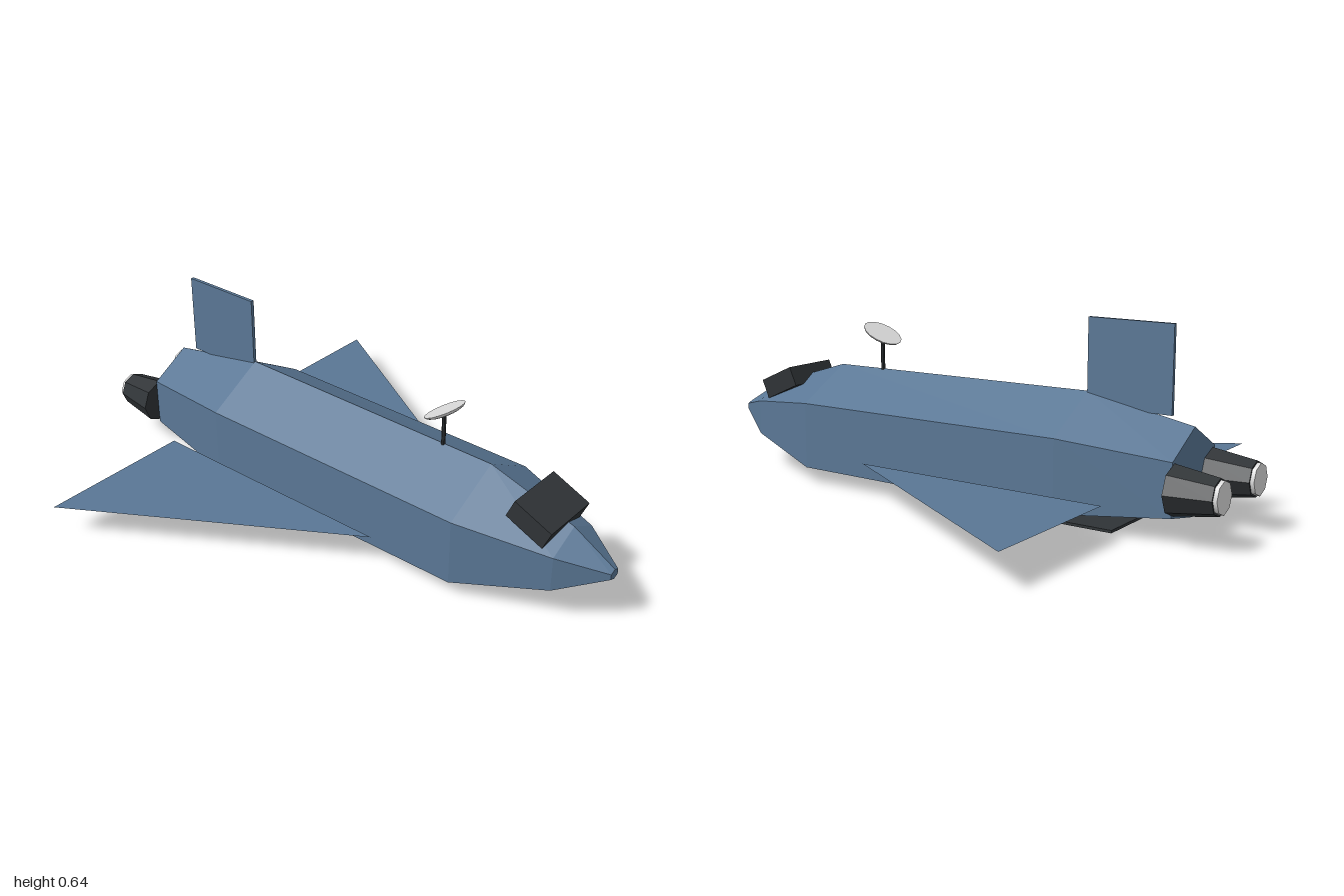
import * as THREE from 'three';

const hullBlue = new THREE.MeshStandardMaterial({ name: 'hullBlue', color: 0x5a7795, flatShading: true });
const wingBlue = new THREE.MeshStandardMaterial({ name: 'wingBlue', color: 0x5a7795, side: THREE.DoubleSide });
const charcoal = new THREE.MeshStandardMaterial({ name: 'charcoal', color: 0x2f3336, flatShading: true });
const lightGrey = new THREE.MeshStandardMaterial({ name: 'lightGrey', color: 0xdddddd });

function add(parent, name, geometry, material, x = 0, y = 0, z = 0) {
  const mesh = new THREE.Mesh(geometry, material);
  mesh.name = name;
  mesh.position.set(x, y, z);
  parent.add(mesh);
  return mesh;
}

// Six-sided hull lofted through stations: z, half width, top, shoulder, lower edge, keel
function hullGeometry() {
  const stations = [
    [1.0, 0.02, 0.212, 0.203, 0.184, 0.177],
    [0.85, 0.11, 0.3, 0.243, 0.122, 0.102],
    [0.54, 0.205, 0.395, 0.283, 0.055, 0.015],
    [-0.47, 0.205, 0.405, 0.288, 0.05, 0.008],
    [-0.84, 0.145, 0.335, 0.253, 0.083, 0.055],
  ];
  const positions = [];
  const index = [];
  for (const [z, w, top, shoulder, lower, keel] of stations) {
    positions.push(0, top, z, -w, shoulder, z, -w, lower, z);
    positions.push(0, keel, z, w, lower, z, w, shoulder, z);
  }
  for (let i = 0; i < stations.length - 1; i++) {
    for (let k = 0; k < 6; k++) {
      const a = i * 6 + k;
      const b = i * 6 + (k + 1) % 6;
      index.push(a, a + 6, b, b, a + 6, b + 6);
    }
  }
  // Nose and tail caps
  const last = (stations.length - 1) * 6;
  for (let k = 1; k < 5; k++) {
    index.push(0, k, k + 1);
    index.push(last, last + k + 1, last + k);
  }
  const geometry = new THREE.BufferGeometry();
  geometry.setAttribute('position', new THREE.Float32BufferAttribute(positions, 3));
  geometry.setIndex(index);
  const flat = geometry.toNonIndexed();
  flat.computeVertexNormals();
  return flat;
}

// Flat triangular wing lying in the xz plane
function wingGeometry(side) {
  const shape = new THREE.Shape();
  shape.moveTo(side * 0.24, -0.255);
  shape.lineTo(side * 0.785, 0.66);
  shape.lineTo(side * 0.24, 0.66);
  return new THREE.ShapeGeometry(shape).rotateX(-Math.PI / 2);
}

export function createModel() {
  const model = new THREE.Group();
  model.name = 'shuttle';

  add(model, 'hull', hullGeometry(), hullBlue);
  add(model, 'tailFin', new THREE.BoxGeometry(0.012, 0.28, 0.295), hullBlue, 0, 0.5, -0.618);
  add(model, 'cockpit', new THREE.BoxGeometry(0.214, 0.07, 0.148), charcoal, 0, 0.32, 0.754).rotation.x = 0.42;
  add(model, 'bellyHatch', new THREE.BoxGeometry(0.26, 0.009, 0.36), charcoal, 0, 0.0045, -0.455);

  // Wings and engines on both sides
  for (const side of [1, -1]) {
    const label = side > 0 ? 'left' : 'right';
    add(model, label + 'Wing', wingGeometry(side), wingBlue, 0, 0.115, 0);

    const engine = new THREE.Group();
    engine.name = label + 'Engine';
    engine.position.set(side * 0.131, 0.168, 0);
    const nozzle = new THREE.CylinderGeometry(0.08, 0.058, 0.147, 8).rotateX(Math.PI / 2);
    add(engine, 'nozzle', nozzle, charcoal, 0, 0, -0.9135);
    const exhaust = new THREE.CylinderGeometry(0.052, 0.052, 0.02, 8).rotateX(Math.PI / 2);
    add(engine, 'exhaust', exhaust, lightGrey, 0, 0, -0.99);
    model.add(engine);
  }

  // Dish antenna on a mast, tilted back
  add(model, 'antennaMast', new THREE.CylinderGeometry(0.007, 0.007, 0.13, 8), charcoal, 0, 0.445, 0.355);
  const dish = new THREE.Group();
  dish.name = 'antennaDish';
  dish.position.set(0, 0.522, 0.355);
  dish.rotation.x = -0.51;
  const profile = [];
  for (let i = 0; i <= 6; i++) {
    const t = (i / 6) * Math.PI / 2;
    profile.push(new THREE.Vector2(0.07 * Math.sin(t), -0.018 * Math.cos(t)));
  }
  add(dish, 'dishBowl', new THREE.LatheGeometry(profile, 16), lightGrey);
  add(dish, 'dishFace', new THREE.CircleGeometry(0.07, 16).rotateX(-Math.PI / 2), lightGrey);
  model.add(dish);

  return model;
}
